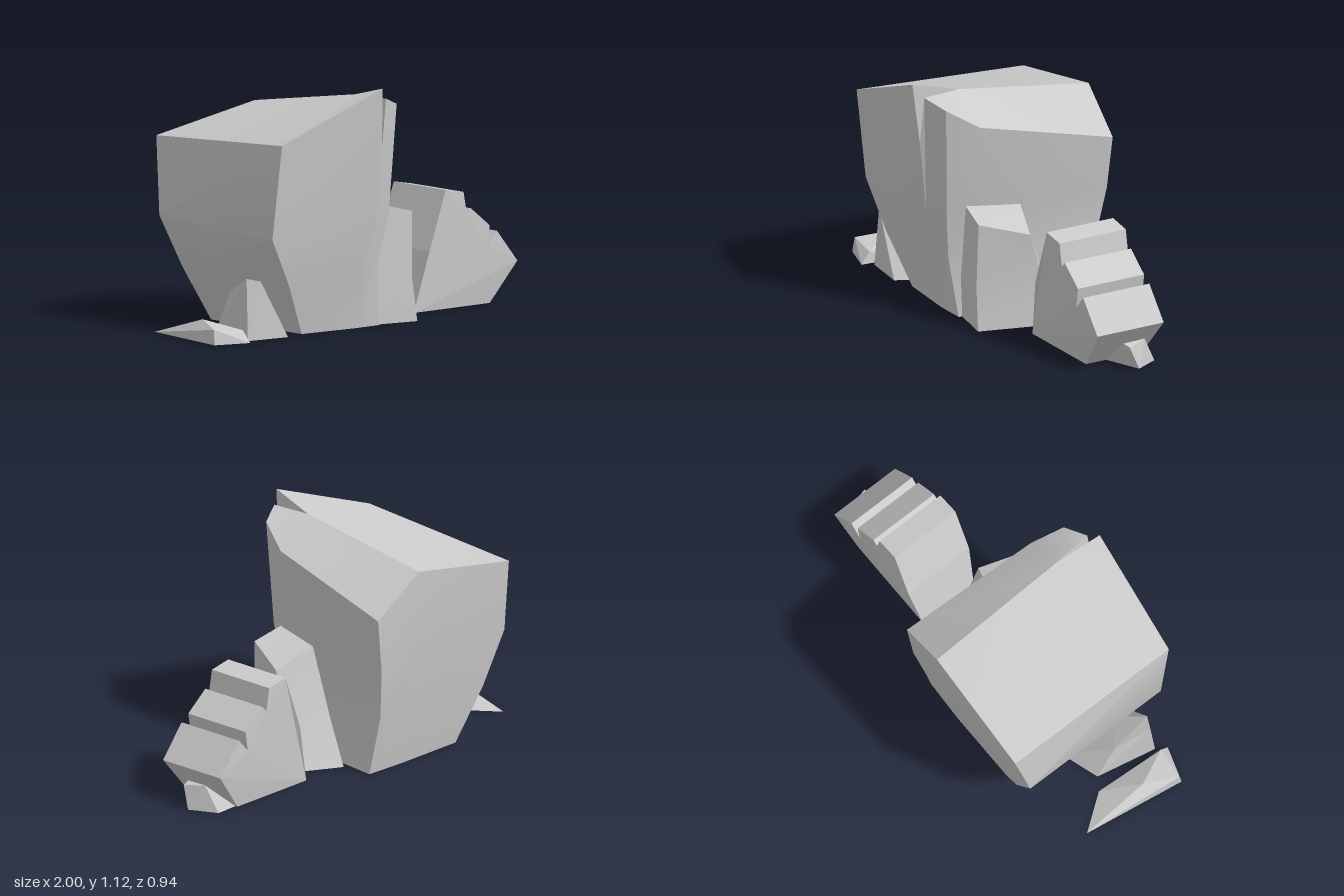
import * as THREE from 'three';
import { toCreasedNormals } from 'three/addons/utils/BufferGeometryUtils.js';
import { ConvexGeometry } from 'three/addons/geometries/ConvexGeometry.js';

const stone = new THREE.MeshStandardMaterial({ color: 0xcccccc });

function part(name, geometry) {
  const mesh = new THREE.Mesh(geometry, stone);
  mesh.name = name;
  return mesh;
}

const centre = (ring) =>
  [0, 1, 2].map((k) => ring.reduce((sum, p) => sum + p[k], 0) / ring.length);

// Skins closed rings from the ground up; the caps fan out from one point each
function loft(rings, apex, crease) {
  const pos = [];
  const tri = (a, b, c) => pos.push(...a, ...b, ...c);
  const n = rings[0].length;
  const top = rings[rings.length - 1];
  const foot = centre(rings[0]);
  for (let i = 0; i < n; i++) {
    const j = (i + 1) % n;
    for (let r = 0; r < rings.length - 1; r++) {
      const lo = rings[r], hi = rings[r + 1];
      tri(lo[i], lo[j], hi[j]);
      tri(lo[i], hi[j], hi[i]);
    }
    tri(apex, top[i], top[j]);
    tri(foot, rings[0][j], rings[0][i]);
  }
  const g = new THREE.BufferGeometry();
  g.setAttribute('position', new THREE.Float32BufferAttribute(pos, 3));
  return toCreasedNormals(g, crease);
}

// Faceted stone wrapped around its corners
const hull = (points) => new ConvexGeometry(points.map((p) => new THREE.Vector3(...p)));

// Large boulder: front left, notch (3 points), front right, right, back right, back, back left
function boulder() {
  const base = [
    [-0.47, 0, 0.27], [-0.17, 0, 0.3], [-0.14, 0, 0.3], [-0.11, 0, 0.3], [-0.02, 0, 0.3],
    [0.04, 0, 0.05], [0.09, 0, -0.33], [-0.12, 0, -0.34], [-0.48, 0, -0.34],
  ];
  const low = [
    [-0.6, 0.24, 0.33], [-0.19, 0.27, 0.345], [-0.16, 0.27, 0.345], [-0.13, 0.27, 0.345],
    [-0.06, 0.28, 0.33], [0.02, 0.28, 0.08], [0.07, 0.28, -0.38], [-0.12, 0.27, -0.39],
    [-0.61, 0.25, -0.39],
  ];
  const middle = [
    [-0.73, 0.47, 0.36], [-0.17, 0.5, 0.4], [-0.14, 0.5, 0.4], [-0.11, 0.5, 0.395],
    [-0.02, 0.53, 0.365], [0.05, 0.53, 0.14], [0.105, 0.53, -0.42], [-0.11, 0.55, -0.44],
    [-0.735, 0.5, -0.41],
  ];
  const top = [
    [-0.72, 0.91, 0.415], [-0.15, 1.125, 0.468], [-0.13, 0.84, 0.44], [-0.1, 1.07, 0.435],
    [0.01, 1.03, 0.385], [0.07, 0.94, 0.24], [0.14, 0.785, -0.43], [-0.11, 0.965, -0.455],
    [-0.7, 0.86, -0.47],
  ];
  return loft([base, low, middle, top], [-0.115, 1.07, 0.24], 0.5);
}

// Upright stone leaning on the boulder, its back sloping to the ground
function uprightStone() {
  const rings = [
    [[-0.03, 0, 0.28], [0.19, 0, 0.325], [0.305, 0, -0.06], [0.1, 0, -0.18]],
    [[-0.03, 0.2, 0.28], [0.165, 0.2, 0.318], [0.27, 0.2, 0.02], [0.08, 0.2, -0.08]],
    [[0.02, 0.55, 0.285], [0.17, 0.51, 0.31], [0.265, 0.45, 0.09], [0.08, 0.53, 0.03]],
  ];
  return loft(rings, centre(rings[2]), 0.3);
}

// Slab with a stepped crest, narrowing at its foot
function steppedSlab() {
  const profile = [
    [0.345, 0], [0.81, 0], [0.955, 0.185], [0.83, 0.335], [0.77, 0.27], [0.785, 0.365],
    [0.67, 0.455], [0.645, 0.43], [0.625, 0.535], [0.515, 0.555], [0.415, 0.28],
  ];
  const shape = new THREE.Shape(profile.map((p) => new THREE.Vector2(...p)));
  const g = new THREE.ExtrudeGeometry(shape, { depth: 1, bevelEnabled: false });
  const pos = g.attributes.position;
  for (let i = 0; i < pos.count; i++) {
    const half = 0.15 + 0.028 * Math.min(1, pos.getY(i) / 0.12);
    pos.setZ(i, -0.022 + (pos.getZ(i) * 2 - 1) * half);
  }
  g.computeVertexNormals();
  return g;
}

export function createModel() {
  const group = new THREE.Group();
  group.name = 'rockCluster';
  group.add(
    part('boulder', boulder()),
    part('uprightStone', uprightStone()),
    part('steppedSlab', steppedSlab()),
    // Small stone at the end of the slab
    part('endStone', hull([
      [0.81, 0, 0.02], [0.81, 0, -0.16], [0.93, 0, -0.165], [1, 0.005, -0.04],
      [0.945, 0.12, 0.01], [0.95, 0.125, -0.1], [0.985, 0.11, 0],
    ])),
    // Wedge against the other side of the boulder
    part('wedgeStone', hull([
      [-0.8, 0, 0.27], [-0.58, 0, 0.3], [-0.5, 0, 0.15], [-0.55, 0, -0.08], [-0.74, 0, -0.02],
      [-0.79, 0.285, 0.25], [-0.73, 0.27, 0.28], [-0.74, 0.2, 0.08], [-0.6, 0.15, 0.18],
    ])),
    // Low outlying stone
    part('lowStone', hull([
      [-0.925, 0, -0.23], [-0.8, 0, -0.06], [-0.83, 0, 0.32], [-1, 0, 0.265],
      [-0.995, 0.07, 0.255], [-0.835, 0.055, 0.275], [-0.925, 0.095, 0.1],
    ])),
  );
  return group;
}
